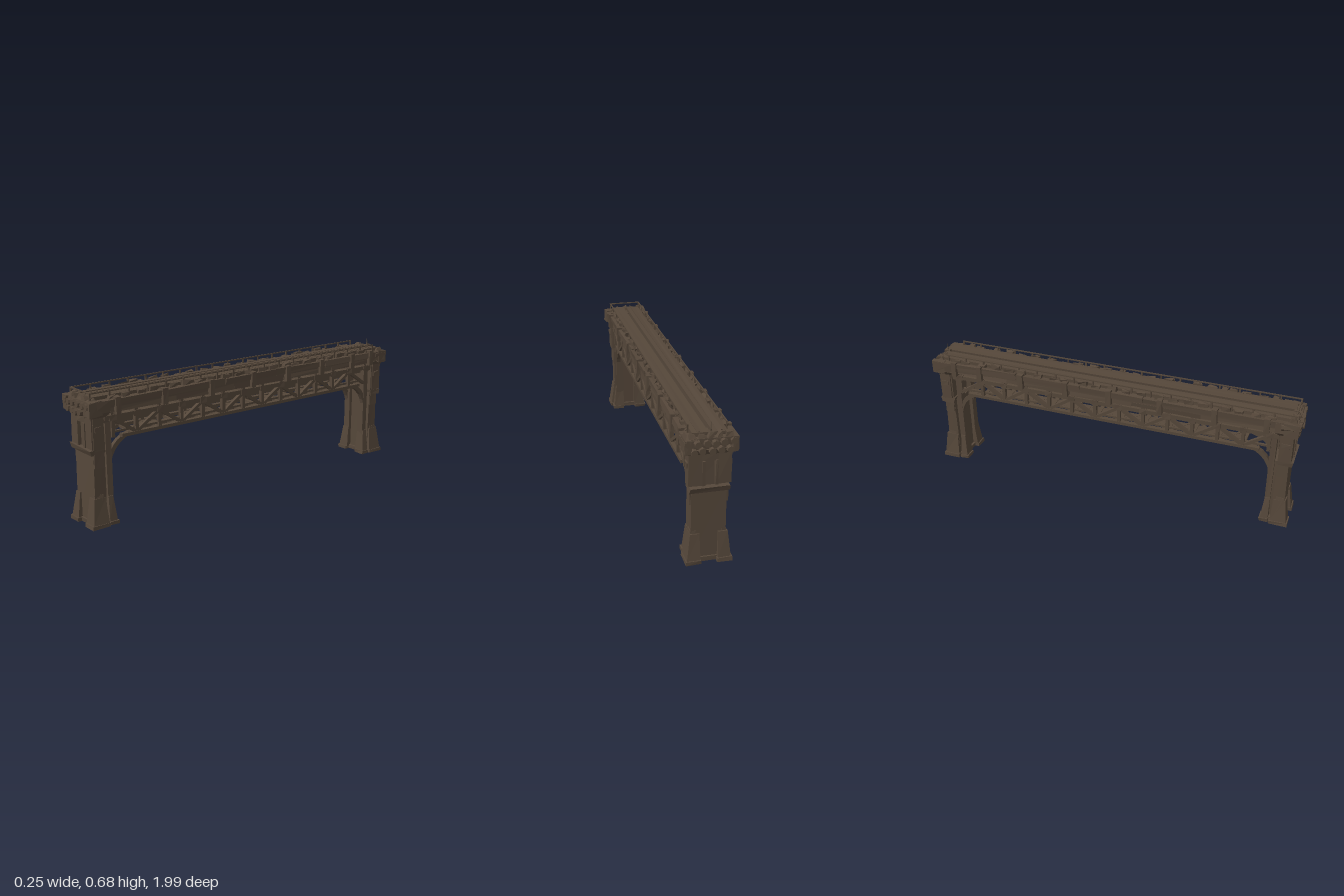
import * as THREE from 'three';

// Small seeded generator for the hand-hewn irregularity
let seed = 7;
const rnd = () => {
  seed = (seed * 16807) % 2147483647;
  return seed / 2147483647 - 0.5;
};

const timber = new THREE.MeshStandardMaterial({ color: 0x55473a, flatShading: true });
timber.name = 'dark weathered timber';

function add(group, name, geo) {
  const mesh = new THREE.Mesh(geo, timber);
  mesh.name = name;
  group.add(mesh);
  return mesh;
}

// Tapered block: bottom and top rectangles are [x0, x1, z0, z1]; corners wobble slightly
function block(group, name, bot, top, y0, y1, wobble = 0.004) {
  const geo = new THREE.BoxGeometry(1, 1, 1);
  const p = geo.attributes.position;
  const offsets = Array.from({ length: 8 }, () => [rnd() * wobble, rnd() * wobble, rnd() * wobble]);
  for (let i = 0; i < p.count; i++) {
    const ix = p.getX(i) > 0 ? 1 : 0, iy = p.getY(i) > 0 ? 1 : 0, iz = p.getZ(i) > 0 ? 1 : 0;
    const r = iy ? top : bot, o = offsets[ix + 2 * iy + 4 * iz];
    p.setXYZ(i, r[ix] + o[0], Math.max(0, (iy ? y1 : y0) + o[1]), r[2 + iz] + o[2]);
  }
  geo.computeVertexNormals();
  return add(group, name, geo);
}
const box = (g, name, x0, x1, y0, y1, z0, z1, w) =>
  block(g, name, [x0, x1, z0, z1], [x0, x1, z0, z1], y0, y1, w);

// Mirrored pair of blocks, given for the +x side
function pair(g, name, bot, top, y0, y1, w) {
  for (const s of [1, -1]) {
    const m = r => (s > 0 ? r : [-r[1], -r[0], r[2], r[3]]);
    block(g, name, m(bot), m(top), y0, y1, w);
  }
}
const boxPair = (g, name, x0, x1, y0, y1, z0, z1, w) =>
  pair(g, name, [x0, x1, z0, z1], [x0, x1, z0, z1], y0, y1, w);

// Straight bar between two points
function bar(group, name, a, b, width, depth) {
  const from = new THREE.Vector3(...a), to = new THREE.Vector3(...b);
  const mesh = add(group, name, new THREE.BoxGeometry(width, depth, from.distanceTo(to)));
  mesh.position.copy(from).add(to).multiplyScalar(0.5);
  mesh.lookAt(to);
}

// Tower supporting one end, built at the +z end
function pier() {
  const g = new THREE.Group();
  g.name = 'pier';
  // Stepped footings with a notch in each face
  box(g, 'footingCore', -0.085, 0.085, 0.003, 0.025, 0.86, 0.965);
  boxPair(g, 'outerFooting', 0.036, 0.108, 0, 0.02, 0.89, 0.985);
  boxPair(g, 'innerFooting', 0.036, 0.1, 0, 0.02, 0.838, 0.885);
  pair(g, 'outerButtress', [0.04, 0.103, 0.892, 0.98], [0.042, 0.086, 0.9, 0.962], 0.018, 0.143);
  pair(g, 'sideButtress', [0.06, 0.1, 0.905, 0.965], [0.06, 0.082, 0.91, 0.955], 0.018, 0.16);
  pair(g, 'innerButtress', [0.034, 0.095, 0.843, 0.884], [0.036, 0.08, 0.855, 0.88], 0.018, 0.14);
  // Shaft
  block(g, 'shaft', [-0.08, 0.08, 0.893, 0.957], [-0.082, 0.082, 0.897, 0.952], 0.02, 0.37);
  box(g, 'shaftWeb', -0.06, 0.06, 0.02, 0.37, 0.872, 0.896);
  boxPair(g, 'innerColumn', 0.034, 0.076, 0.02, 0.53, 0.854, 0.881);
  box(g, 'innerLintel', -0.08, 0.08, 0.5, 0.535, 0.852, 0.9);
  boxPair(g, 'sidePilaster', 0.072, 0.088, 0.29, 0.38, 0.9, 0.952);
  // Collar and upper chamber with a framed doorway
  block(g, 'collar', [-0.088, 0.088, 0.893, 0.966], [-0.092, 0.092, 0.89, 0.972], 0.355, 0.382, 0.012);
  box(g, 'chamber', -0.09, 0.09, 0.375, 0.54, 0.896, 0.952);
  boxPair(g, 'chamberFace', 0.03, 0.094, 0.385, 0.54, 0.94, 0.964);
  box(g, 'doorHead', -0.036, 0.036, 0.502, 0.54, 0.94, 0.964);
  boxPair(g, 'doorJamb', 0.023, 0.036, 0.385, 0.503, 0.945, 0.97);
  boxPair(g, 'cornerPost', 0.084, 0.097, 0.385, 0.545, 0.902, 0.958);
  boxPair(g, 'sideClasp', 0.09, 0.102, 0.468, 0.492, 0.91, 0.95);
  // Cap with bundled log ends
  block(g, 'capCorbel', [-0.098, 0.098, 0.89, 0.965], [-0.118, 0.118, 0.87, 0.978], 0.535, 0.56);
  box(g, 'capSlab', -0.118, 0.118, 0.558, 0.612, 0.87, 0.975, 0.008);
  boxPair(g, 'capEar', 0.09, 0.121, 0.548, 0.615, 0.915, 0.985, 0.008);
  for (const [y, count, shift] of [[0.557, 5, 0.0], [0.594, 6, -0.004]]) {
    for (let i = 0; i < count; i++) {
      const log = add(g, 'logEnd', new THREE.CylinderGeometry(0.016, 0.02, 0.09, 7));
      log.rotation.set(Math.PI / 2, rnd() * 2, 0);
      log.position.set((i - (count - 1) / 2) * 0.04 + shift + rnd() * 0.008, y + rnd() * 0.006, 0.947 + rnd() * 0.012);
    }
  }
  for (let i = 0; i < 5; i++) {
    const x = -0.08 + i * 0.04;
    block(g, 'capRubble', [x - 0.017, x + 0.017, 0.93, 0.975], [x - 0.01, x + 0.01, 0.94, 0.965],
      0.608, 0.628 + rnd() * 0.012, 0.012);
  }
  // Curved braces springing from the pier to the truss
  const profile = new THREE.Shape();
  profile.moveTo(0.858, 0.29);
  profile.quadraticCurveTo(0.84, 0.395, 0.73, 0.424);
  profile.lineTo(0.75, 0.436);
  profile.quadraticCurveTo(0.845, 0.415, 0.872, 0.32);
  for (const x of [-0.073, 0.051]) {
    const geo = new THREE.ExtrudeGeometry(profile, { depth: 0.022, bevelEnabled: false, curveSegments: 5 });
    const brace = add(g, 'curvedBrace', geo.rotateY(-Math.PI / 2));
    brace.position.x = x + 0.022;
  }
  return g;
}

function truss() {
  const g = new THREE.Group();
  g.name = 'truss';
  const step = 0.13, n = 13, z0 = -0.845;
  for (const s of [1, -1]) {
    const x = 0.078 * s;
    bar(g, 'topChord', [x, 0.522, -0.89], [x, 0.522, 0.89], 0.022, 0.022);
    bar(g, 'bottomChord', [x, 0.426, -0.8], [x, 0.426, 0.8], 0.024, 0.016);
    bar(g, 'lowerRail', [x * 0.9, 0.448, -0.86], [x * 0.9, 0.448, 0.86], 0.012, 0.01);
    for (let i = 0; i <= n; i++) {
      const z = z0 + i * step;
      bar(g, 'post', [x, 0.425, z], [x, 0.55, z + 0.0001], 0.02, 0.017);
      box(g, 'gusset', x - 0.014, x + 0.014, 0.508, 0.536, z - 0.018, z + 0.018);
      if (i < n) {
        const up = i % 2;
        bar(g, 'diagonal', [x, up ? 0.515 : 0.43, z], [x, up ? 0.43 : 0.515, z + step], 0.018, 0.016);
      }
    }
    bar(g, 'stringer', [0.03 * s, 0.505, -0.9], [0.03 * s, 0.505, 0.9], 0.03, 0.04);
  }
  // Lateral members joining the two sides
  for (let i = 0; i <= n; i++) {
    const z = z0 + i * step;
    bar(g, 'floorBeam', [-0.08, 0.535, z], [0.08, 0.535, z], 0.022, 0.03);
    if (Math.abs(z) > 0.8) continue;
    bar(g, 'crossTie', [-0.08, 0.425, z], [0.08, 0.425, z], 0.022, 0.012);
    const d = i % 2 ? 0.075 : -0.075;
    if (z + step < 0.8) bar(g, 'lateralBrace', [-d, 0.425, z], [d, 0.425, z + step], 0.014, 0.01);
  }
  box(g, 'catwalk', -0.026, 0.026, 0.418, 0.428, -0.72, 0.72);
  return g;
}

function deck() {
  const g = new THREE.Group();
  g.name = 'deck';
  box(g, 'deckCore', -0.088, 0.088, 0.55, 0.6, -0.95, 0.95);
  // Two long walkways split by a narrow centre groove
  boxPair(g, 'walkway', 0.008, 0.08, 0.598, 0.628, -0.95, 0.95, 0.006);
  boxPair(g, 'walkwayPlank', 0.03, 0.058, 0.62, 0.632, -0.94, 0.94, 0.004);
  // Stacked side beams laid in overlapping lengths
  const cuts = [-0.92, -0.56, -0.2, 0.14, 0.5, 0.92];
  for (let i = 0; i < cuts.length - 1; i++) {
    boxPair(g, 'lowerSideBeam', 0.08, 0.101, 0.55, 0.577, cuts[i], cuts[i + 1], 0.008);
    boxPair(g, 'upperSideBeam', 0.082, 0.111, 0.584, 0.614, -cuts[i + 1], -cuts[i], 0.008);
  }
  boxPair(g, 'middleSideBeam', 0.085, 0.104, 0.574, 0.588, -0.92, 0.92);
  for (const z of [-0.86, -0.71, -0.47, -0.22, 0.02, 0.29, 0.57, 0.83])
    boxPair(g, 'clamp', 0.085, 0.12, 0.542, 0.623, z - 0.014, z + 0.014);
  // Loose blocks along the kerb
  for (let i = 0; i < 22; i++) {
    const z = -0.87 + i * 0.082 + rnd() * 0.03;
    boxPair(g, 'kerbBlock', 0.08, 0.096, 0.61, 0.632 + rnd() * 0.012, z - 0.022, z + 0.022, 0.012);
  }
  return g;
}

function railing() {
  const g = new THREE.Group();
  g.name = 'railing';
  for (const x of [-0.087, 0.087]) {
    bar(g, 'handRail', [x, 0.65, -0.9], [x, 0.65, 0.96], 0.006, 0.006);
    for (let i = 0; i <= 18; i++) {
      const z = -0.9 + i * 1.86 / 18;
      box(g, 'railPost', x - 0.003, x + 0.003, 0.61, 0.652, z - 0.004, z + 0.004, 0.002);
    }
  }
  bar(g, 'endRail', [-0.09, 0.65, 0.96], [0.09, 0.65, 0.96], 0.006, 0.006);
  return g;
}

export function createModel() {
  seed = 7;
  const model = new THREE.Group();
  model.name = 'bridge';
  const front = pier(), back = pier();
  front.name = 'frontPier';
  back.name = 'backPier';
  back.rotation.y = Math.PI;
  model.add(front, back, truss(), deck(), railing());
  // Spike standing on the back cap
  const spike = add(model, 'spike', new THREE.ConeGeometry(0.008, 0.08, 5));
  spike.position.set(-0.002, 0.64, -0.95);
  return model;
}
